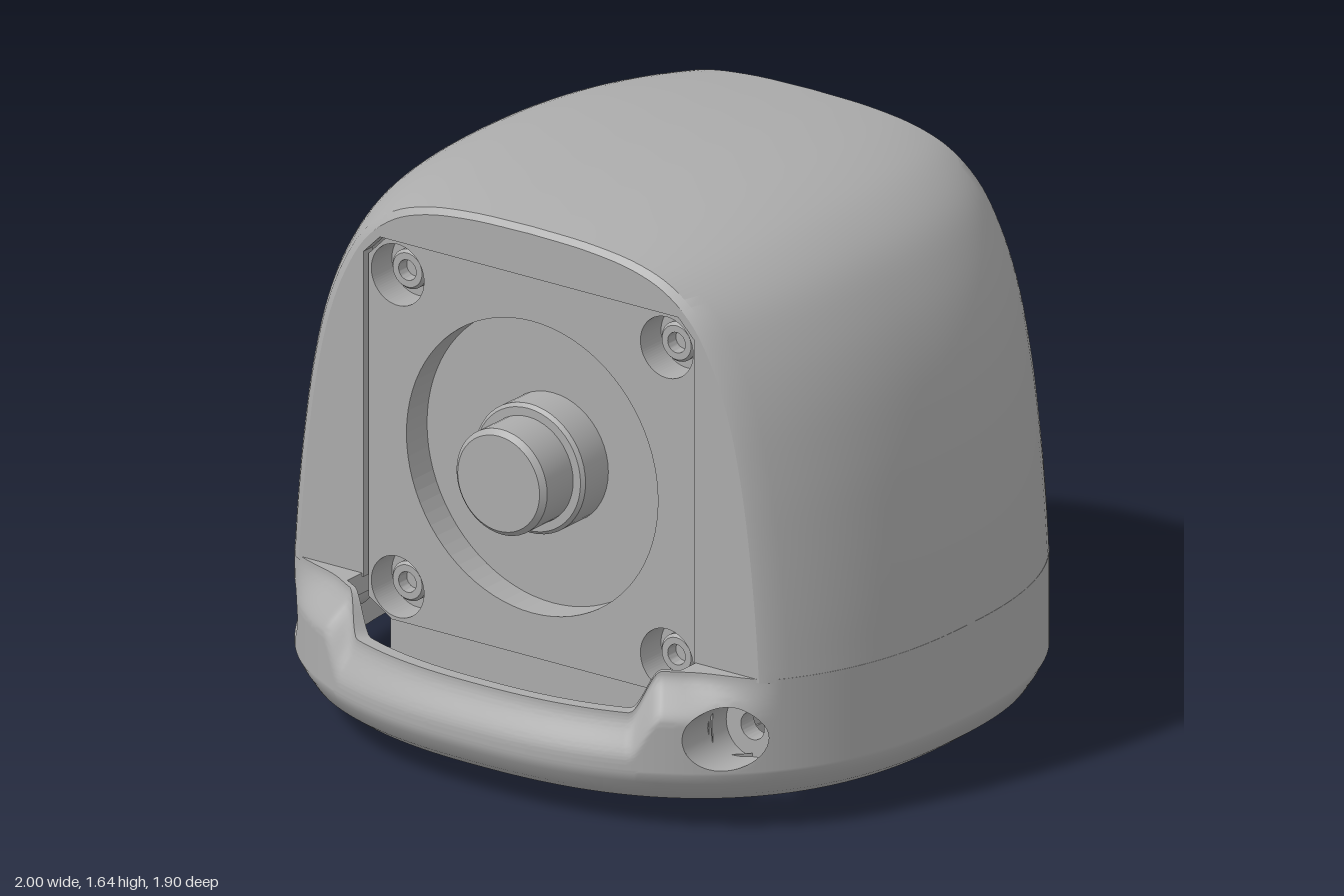
import * as THREE from 'three';
import { toCreasedNormals } from 'three/addons/utils/BufferGeometryUtils.js';

const N = 2.4, DEPTH = 0.95, FACE = 0.66, AXIS = 0.89;
const { smoothstep, clamp } = THREE.MathUtils;
const grey = new THREE.MeshStandardMaterial({ color: 0xacacac, side: THREE.DoubleSide });
grey.name = 'grey';

// Half width of the rounded footprint at depth z, and its half depth at x
const halfWidth = z => Math.pow(1 - Math.pow(Math.abs(z) / DEPTH, N), 1 / N);
const halfDepth = x => DEPTH * Math.pow(Math.max(0, 1 - Math.pow(Math.abs(x), N)), 1 / N);

// Grid of points (rows of equal length) to a surface; drop(centre) removes faces
function gridGeometry(rows, drop = () => false) {
  const n = rows[0].length, pts = rows.flat(), index = [];
  const tri = (a, b, c) => {
    const m = pts[a].clone().add(pts[b]).add(pts[c]).divideScalar(3);
    if (!drop(m)) index.push(a, b, c);
  };
  for (let i = 0; i < rows.length - 1; i++) for (let j = 0; j < n - 1; j++) {
    const a = i * n + j;
    tri(a, a + 1, a + n);
    tri(a + 1, a + n + 1, a + n);
  }
  const g = new THREE.BufferGeometry();
  g.setAttribute('position', new THREE.Float32BufferAttribute(pts.flatMap(p => p.toArray()), 3));
  g.setIndex(index);
  return toCreasedNormals(g, 0.6);
}

const polygon = pts => new THREE.Shape(pts.map(p => new THREE.Vector2(...p)));
function hole(shape, x, y, r) {
  shape.holes.push(new THREE.Path().absarc(x, y, r, 0, Math.PI * 2, true));
}
function slab(shape, z0, z1, bevel = 0) {
  const g = new THREE.ExtrudeGeometry(shape, {
    depth: z1 - z0 - 2 * bevel, curveSegments: 40, bevelEnabled: bevel > 0,
    bevelSize: bevel, bevelThickness: bevel, bevelOffset: -bevel, bevelSegments: 1,
  });
  return g.translate(0, 0, z0 + bevel);
}

// Right half of the cover's front outline, from base to crown
const crown = new THREE.CatmullRomCurve3([
  [1, 0.44], [0.985, 0.62], [0.96, 0.82], [0.925, 1.02], [0.87, 1.22], [0.8, 1.37],
  [0.71, 1.49], [0.59, 1.57], [0.45, 1.612], [0.25, 1.634], [0, 1.64],
].map(([x, y]) => new THREE.Vector3(x, y, 0))).getPoints(44);

function coverSection(z) {
  const edge = Math.max(0, (Math.abs(z) - 0.645) / 0.015) * 0.012;
  const sx = halfWidth(z) - edge, sy = 1 - 0.035 * (z / FACE) ** 2 - edge;
  const half = crown.map(p => new THREE.Vector3(p.x * sx, 0.44 + (p.y - 0.44) * sy, z));
  const other = half.slice(0, -1).reverse().map(p => new THREE.Vector3(-p.x, p.y, z));
  return [...half, ...other];
}

// Bolt seats cut into the base corners: axis x, floor depth
const SEAT_Y = 0.28, SEAT_R = 0.09;
const seats = [{ x: 0.72, floor: 0.6 }, { x: -0.855, floor: 0.34 }];
const seatDistance = (p, s) => Math.hypot(p.x - s.x, p.y - SEAT_Y);

// The base is low in the middle of the front and back, high at the corners
const rimHeight = x => 0.33 + 0.12 * smoothstep(Math.abs(x), 0.49, 0.58);
function rimInset(x, y, z) {
  const h = rimHeight(x), depth = 0.055 + 0.025 * (h - 0.33) / 0.12;
  return depth * smoothstep(Math.abs(z), 0.62, 0.8) * smoothstep(y, h - 0.13, h);
}
function baseDepth(x, y) {
  const k = 1 - rimInset(x, y, halfDepth(x));
  return k * halfDepth(x / k);
}

function baseGeometry() {
  const rows = [], steps = 540;
  for (let i = 0; i <= steps; i++) {
    const t = i / steps * Math.PI * 2, c = Math.cos(t), s = Math.sin(t);
    const r = 1 / Math.pow(Math.abs(c) ** N + Math.abs(s) ** N, 1 / N);
    const x = c * r, z = s * r * DEPTH, h = rimHeight(x);
    const at = (inset, y) => new THREE.Vector3(x * (1 - inset), y, z * (1 - inset));
    const inner = y => {
      const p = at(0.095, y);
      p.x = clamp(p.x, -0.57, 0.57);
      return p;
    };
    const row = [at(0.095, h - 0.06), at(0.095, 0.2), at(0.095, 0.08), at(0.075, 0.08),
      at(0.04, 0.105), at(0.015, 0.145)];
    for (let k = 0; k <= 36; k++) {
      const y = 0.175 + (h - 0.175) * k / 36, p = at(rimInset(x, y, z), y);
      // pull nearby points onto the rim of the bolt seats
      for (const seat of seats) {
        const d = seatDistance(p, seat);
        if (Math.abs(d - SEAT_R) > 0.0065 || Math.abs(z) < 0.2) continue;
        p.x = seat.x + (p.x - seat.x) * SEAT_R / d;
        p.y = SEAT_Y + (p.y - SEAT_Y) * SEAT_R / d;
        p.z = Math.sign(z) * baseDepth(p.x, p.y);
      }
      row.push(p);
    }
    row.push(inner(h), inner(h - 0.06), at(0.095, h - 0.06));
    rows.push(row);
  }
  return gridGeometry(rows, m => Math.abs(m.z) > 0.2 && seats.some(s => seatDistance(m, s) < SEAT_R - 0.0005));
}

// Bolt seat: hole rim, floor, then wall up to the base surface
function seatGeometry({ x, floor }, side) {
  const rows = [];
  for (let i = 0; i <= 64; i++) {
    const a = side * i / 64 * Math.PI * 2;
    const at = (r, z) => new THREE.Vector3(x + r * Math.cos(a), SEAT_Y + r * Math.sin(a), side * z);
    const rim = at(SEAT_R, 0);
    rows.push([at(0.04, floor - 0.06), at(0.04, floor), at(SEAT_R, floor),
      at(SEAT_R, Math.max(floor, baseDepth(rim.x, rim.y)))]);
  }
  return gridGeometry(rows);
}

export function createModel() {
  const model = new THREE.Group();
  const add = (name, geometry, x = 0, y = 0, z = 0) => {
    const m = new THREE.Mesh(geometry, grey);
    m.name = name;
    m.position.set(x, y, z);
    model.add(m);
    return m;
  };

  // Domed cover
  const zs = [-FACE];
  for (let i = 0; i <= 28; i++) zs.push(-0.645 + 1.29 * i / 28);
  zs.push(FACE);
  add('cover', gridGeometry(zs.map(coverSection)));

  // Flat frames closing the cover around the motor
  const frame = polygon([...coverSection(FACE).map(p => [p.x, p.y]), [-0.565, 0.44], [-0.565, 1.4],
    [-0.51, 1.455], [0.51, 1.455], [0.565, 1.4], [0.565, 0.44]]);
  add('frontFrame', slab(frame, FACE - 0.04, FACE));
  add('backFrame', slab(frame, -FACE, -FACE + 0.04));

  // Base ring with bolt seats
  add('baseRing', baseGeometry());
  for (const seat of seats) for (const side of [1, -1]) add('boltSeat', seatGeometry(seat, side));

  // Motor block and its end plates
  add('motorBlock', new THREE.BoxGeometry(1.11, 1.325, 1.12), 0, 0.7975, -0.01);
  const plateOutline = () => polygon([[-0.48, 0.33], [0.48, 0.33], [0.56, 0.38], [0.56, 1.39],
    [0.5, 1.45], [-0.5, 1.45], [-0.56, 1.39], [-0.56, 0.38]]);
  const corners = [[0.46, 1.35], [-0.46, 1.35], [0.46, 0.43], [-0.46, 0.43]];
  const front = plateOutline(), back = plateOutline();
  hole(front, 0, AXIS, 0.43);
  for (const [x, y] of corners) {
    hole(front, x, y, 0.09);
    hole(back, x, y, 0.085);
  }
  add('frontPlate', slab(front, 0.54, 0.645));
  add('backPlate', slab(back, -0.63, -0.56));

  // Socket screws
  const turned = pts => toCreasedNormals(
    new THREE.LatheGeometry(pts.map(p => new THREE.Vector2(...p)), 48).rotateX(Math.PI / 2), 0.5);
  const screw = turned([[0.058, 0], [0.058, 0.04], [0.05, 0.05], [0.03, 0.05], [0.028, 0.015], [0, 0.015]]);
  for (const [x, y] of corners) {
    add('frontScrew', screw, x, y, 0.55);
    add('backScrew', screw, x, y, y > 1 ? -0.57 : -0.7).rotation.y = Math.PI;
  }

  // Front recess hub and idler shaft
  add('shaft', turned([[0.19, 0.53], [0.19, 0.655], [0.18, 0.665], [0.155, 0.665],
    [0.155, 0.785], [0.14, 0.8], [0, 0.8]]), 0, AXIS, 0);

  // Back output disc with bolt holes
  const disc = new THREE.Shape().absarc(0, 0, 0.41, 0, Math.PI * 2);
  for (let i = 0; i < 4; i++) for (const [a, r] of [[0.35, 0.036], [1.05, 0.027]]) {
    const t = a + i * Math.PI / 2;
    hole(disc, 0.29 * Math.cos(t), 0.29 * Math.sin(t), r);
  }
  hole(disc, 0, 0, 0.01);
  add('outputDisc', slab(disc, -0.69, -0.62), 0, AXIS, 0);
  add('outputRim', turned([[0.435, -0.62], [0.435, -0.68], [0.428, -0.69], [0.41, -0.69]]), 0, AXIS, 0);

  // Back bracket wrapping under the disc
  const bracket = polygon([[-0.48, 0.33], [0.48, 0.33], [0.56, 0.38], [0.56, 0.55], [0.54, 0.57], [0.344, 0.57]]);
  const a = Math.atan2(-0.32, 0.344);
  bracket.absarc(0, AXIS, 0.47, a, -Math.PI - a, true);
  bracket.lineTo(-0.54, 0.57).lineTo(-0.56, 0.55).lineTo(-0.56, 0.38);
  for (const x of [-0.46, 0.46]) hole(bracket, x, 0.43, 0.07);
  add('backBracket', slab(bracket, -0.785, -0.62, 0.01));
  for (const x of [-0.46, 0.46])
    add('bracketSeat', new THREE.BoxGeometry(0.17, 0.16, 0.05), x, 0.43, -0.675);

  // Underside plate, and rails set off by a groove
  add('bottomPlate', new THREE.BoxGeometry(0.92, 0.1, 1.1), 0, 0.135, 0);
  for (const side of [-1, 1]) {
    add('sideRail', new THREE.BoxGeometry(0.05, 0.1, 1.26), side * 0.535, 0.12, 0);
    add('endRail', new THREE.BoxGeometry(1.02, 0.1, 0.04), 0, 0.12, side * 0.61);
    for (const z of [-0.25, 0.25])
      add('rib', new THREE.BoxGeometry(0.34, 0.08, 0.04), side * 0.72, 0.39, z);
  }

  // Round foot with a squared front lug
  const foot = new THREE.Shape();
  foot.moveTo(0.38, 0.47).lineTo(-0.38, 0.47).lineTo(-0.42, 0.43).lineTo(-0.42, 0.33).lineTo(-0.34, 0.21);
  const f = Math.atan2(0.27, 0.34);
  foot.absarc(0, -0.06, 0.434, Math.PI - f, 2 * Math.PI + f, false);
  foot.lineTo(0.42, 0.33).lineTo(0.42, 0.43);
  for (let i = 0; i < 6; i++) {
    const t = i * Math.PI / 3 + 0.3;
    hole(foot, 0.29 * Math.cos(t), -0.06 + 0.29 * Math.sin(t), i % 2 ? 0.025 : 0.04);
  }
  add('foot', slab(foot, -0.1, 0, 0.012).rotateX(Math.PI / 2));
  return model;
}
